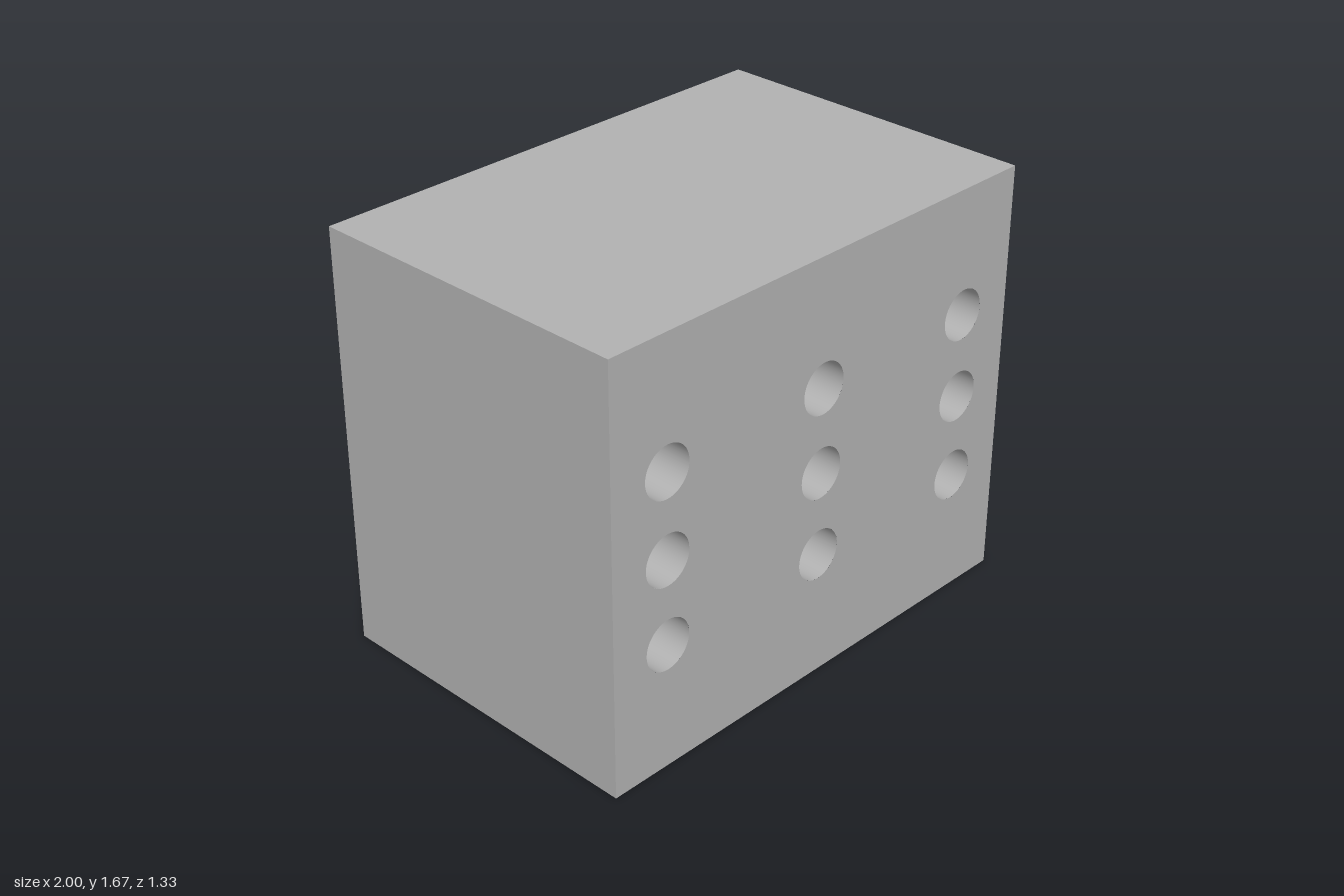
import * as THREE from 'three';

const W = 2, H = 5 / 3, D = 4 / 3;             // outer block
const PW = 1, PH = 4 / 3, PD = 5 / 6;          // pocket opening at the back
const R = 0.1, SEG = 48;                       // round holes
const ROWS = [-1 / 3, 0, 1 / 3];

// Rectangle centred on the origin, pierced by hole columns and an optional window
function panel(w, h, columns, window) {
  const rect = (Type, a, b) => new Type([
    new THREE.Vector2(-a / 2, -b / 2), new THREE.Vector2(a / 2, -b / 2),
    new THREE.Vector2(a / 2, b / 2), new THREE.Vector2(-a / 2, b / 2)]);
  const shape = rect(THREE.Shape, w, h);
  for (const x of columns) for (const y of ROWS) {
    shape.holes.push(new THREE.Path().absarc(x, y, R, 0, Math.PI * 2, true));
  }
  if (window) shape.holes.push(rect(THREE.Path, PW, PH));
  return new THREE.ShapeGeometry(shape, SEG);
}

// Four walls running along z, facing outward (side 1) or inward (side -1)
function walls(w, h, depth, z, side) {
  return [0, 1, 2, 3].map((k) => {
    const [across, reach] = k % 2 ? [h, w] : [w, h];
    return new THREE.PlaneGeometry(across, depth).rotateX(-Math.PI / 2)
      .translate(0, side * reach / 2, z).rotateZ(k * Math.PI / 2);
  });
}

// Inward-facing lining of a round hole from z0 to z1
function bore(x, y, z0, z1) {
  const profile = [new THREE.Vector2(R, z1), new THREE.Vector2(R, z0)];
  return new THREE.LatheGeometry(profile, SEG).rotateX(Math.PI / 2).translate(x, y, 0);
}

export function createModel() {
  const model = new THREE.Group();
  model.name = 'perforatedBlock';
  const grey = new THREE.MeshStandardMaterial({ color: 0xb2b2b2 });
  grey.name = 'grey';
  const add = (name, geometry) => {
    const mesh = new THREE.Mesh(geometry, grey);
    mesh.name = name;
    mesh.position.y = H / 2;
    model.add(mesh);
  };

  const back = -D / 2, front = D / 2, floor = back + PD;

  // Outer shell
  add('frontFace', panel(W, H, [-0.75, 0, 0.75]).translate(0, 0, front));
  add('backFace', panel(W, H, [-0.75, 0.75], true).rotateY(Math.PI).translate(0, 0, back));
  walls(W, H, D, 0, 1).forEach((g) => add('outerWall', g));

  // Pocket cut into the back
  walls(PW, PH, PD, back + PD / 2, -1).forEach((g) => add('pocketWall', g));
  add('pocketFloor', panel(PW, PH, [0]).rotateY(Math.PI).translate(0, 0, floor));

  // Side holes pass right through, middle holes end in the pocket
  for (const x of [-0.75, 0, 0.75]) for (const y of ROWS) {
    add('holeLining', bore(x, y, x === 0 ? floor : back, front));
  }
  return model;
}
